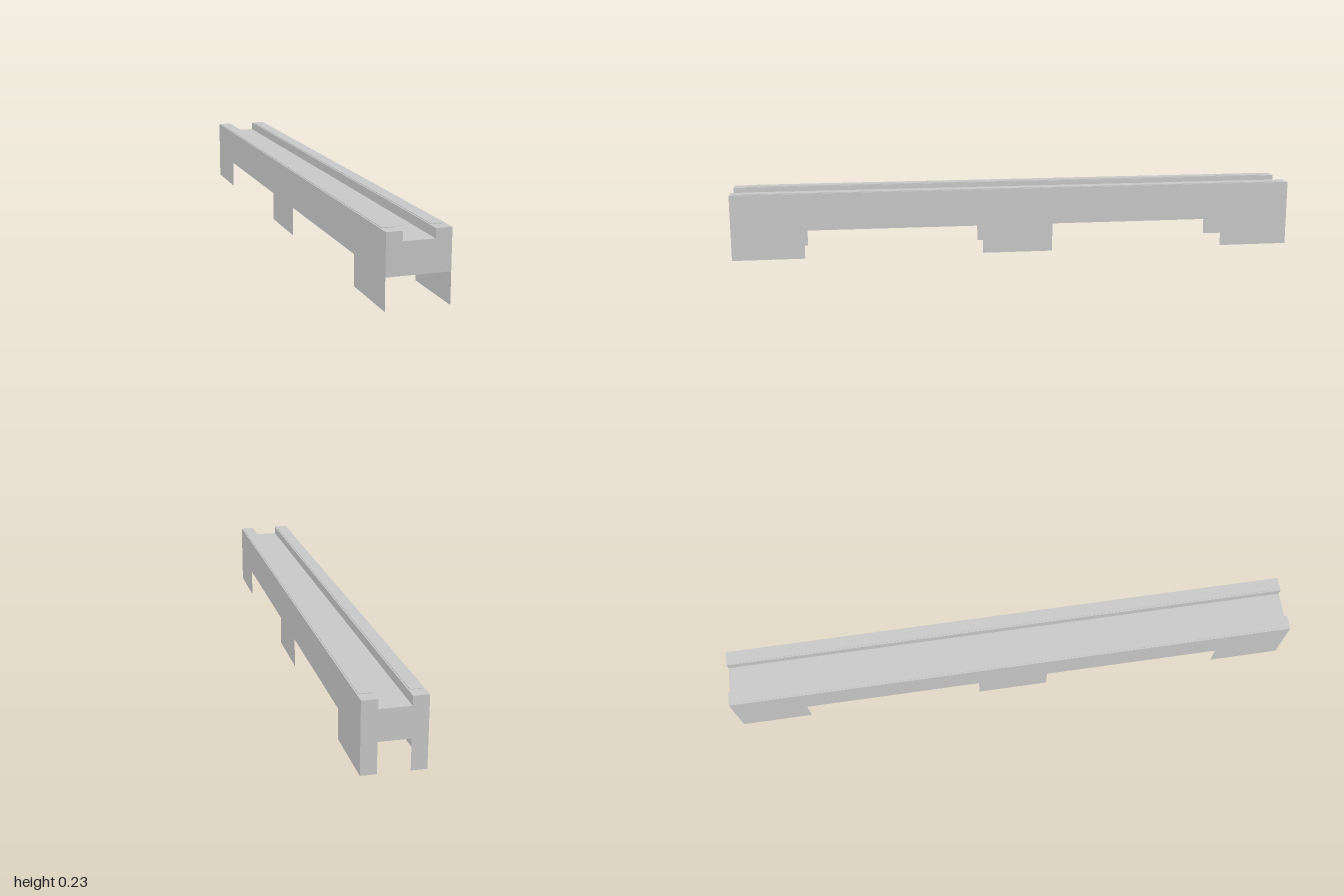
import * as THREE from 'three';

const W = 0.1, G = 0.05, L = 1;            // half width, half groove, half length
const SILL = 0.1, FLOOR = 0.2, TOP = 0.23; // heights

export function createModel() {
  const model = new THREE.Group();
  const material = new THREE.MeshStandardMaterial({ color: 0xcccccc, side: THREE.DoubleSide });

  const add = (name, geometry, x = 0, y = 0, z = 0) => {
    const mesh = new THREE.Mesh(geometry, material);
    mesh.name = name;
    mesh.position.set(x, y, z);
    model.add(mesh);
    return mesh;
  };
  const sheet = (points) =>
    new THREE.ShapeGeometry(new THREE.Shape(points.map(([x, y]) => new THREE.Vector2(x, y))));

  // Side walls: thin sheets with three feet
  const wall = sheet([
    [-L, 0], [-0.75, 0], [-0.75, SILL], [-0.125, SILL], [-0.125, 0], [0.125, 0],
    [0.125, SILL], [0.75, SILL], [0.75, 0], [L, 0], [L, TOP], [-L, TOP],
  ]);
  for (const side of [1, -1]) {
    const name = side > 0 ? 'left' : 'right';
    add(name + 'Wall', wall, side * W).rotation.y = side * Math.PI / 2;

    // Rail top and the groove wall beside it
    const rail = new THREE.PlaneGeometry(W - G, 2 * L).rotateX(-Math.PI / 2);
    add(name + 'RailTop', rail, side * (W + G) / 2, TOP);
    const grooveWall = new THREE.PlaneGeometry(2 * L, TOP - FLOOR).rotateY(-side * Math.PI / 2);
    add(name + 'GrooveWall', grooveWall, side * G, (FLOOR + TOP) / 2);

    // Thin raised strip along the rail
    add(name + 'Strip', new THREE.BoxGeometry(0.04, 0.002, 1.91), side * 0.075, TOP + 0.001);
  }

  // Groove floor
  add('grooveFloor', new THREE.PlaneGeometry(2 * G, 2 * L).rotateX(-Math.PI / 2), 0, FLOOR);

  // End plates: the front one stops at the sill, the back one reaches the ground
  const upper = [[W, TOP], [G, TOP], [G, FLOOR], [-G, FLOOR], [-G, TOP], [-W, TOP]];
  add('frontPlate', sheet([[-W, SILL], [W, SILL], ...upper]), 0, 0, L);
  const back = sheet([[-W, 0], [-G, 0], [-G, SILL], [G, SILL], [G, 0], [W, 0], ...upper]);
  add('backPlate', back, 0, 0, -L).rotation.y = Math.PI;

  return model;
}
